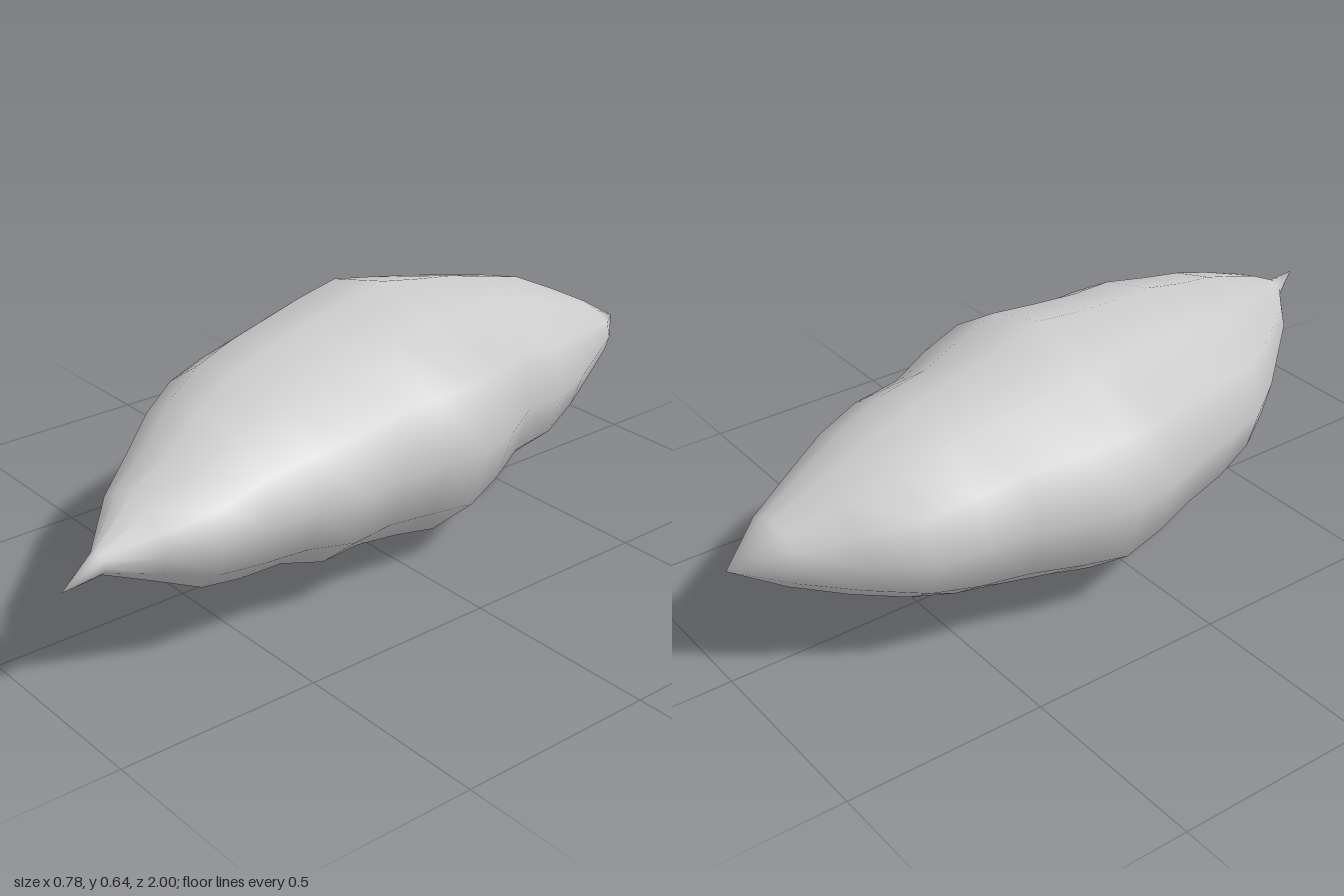
import * as THREE from 'three';

// Cross-sections from back to front: z, xMin, xMax, yMin, yMax
const SECTIONS = [
  [-0.875, -0.13, 0.07, 0.24, 0.40],
  [-0.75, -0.22, 0.14, 0.185, 0.465],
  [-0.625, -0.30, 0.21, 0.14, 0.525],
  [-0.5, -0.32, 0.26, 0.09, 0.56],
  [-0.375, -0.335, 0.27, 0.065, 0.59],
  [-0.25, -0.375, 0.34, 0.04, 0.615],
  [-0.125, -0.39, 0.385, 0.0, 0.643],
  [0, -0.365, 0.38, 0.03, 0.625],
  [0.125, -0.32, 0.37, 0.05, 0.61],
  [0.25, -0.285, 0.39, 0.06, 0.595],
  [0.375, -0.24, 0.375, 0.105, 0.565],
  [0.5, -0.15, 0.365, 0.12, 0.53],
  [0.625, -0.04, 0.365, 0.16, 0.475],
  [0.75, 0.07, 0.325, 0.23, 0.425],
  [0.875, 0.22, 0.28, 0.30, 0.355],
];
const AXIS_Y = 0.325;
const BACK_TIP = [-0.04, AXIS_Y, -1];
const FRONT_TIP = [0.31, AXIS_Y, 1];

// Lumpiness of the outline, one factor per side of the ring
const BULGE = [1, 1.04, 0.96, 1, 0.98, 1.02, 1, 1.01, 0.99, 1, 1.01, 0.99];
const SIDES = BULGE.length;

function bodyGeometry() {
  const points = [];
  const faces = [];

  // Rings of elliptical points, with separate radii above and below the axis
  for (const [z, x0, x1, y0, y1] of SECTIONS) {
    BULGE.forEach((bulge, j) => {
      const a = (j / SIDES) * Math.PI * 2;
      const s = Math.sin(a);
      const ry = s > 0 ? y1 - AXIS_Y : AXIS_Y - y0;
      points.push(
        (x0 + x1) / 2 + ((x1 - x0) / 2) * Math.cos(a) * bulge,
        AXIS_Y + ry * s * bulge,
        z,
      );
    });
  }
  const back = points.length / 3;
  const front = back + 1;
  points.push(...BACK_TIP, ...FRONT_TIP);

  // Skin between rings, closed by a fan at each tip
  const last = (SECTIONS.length - 1) * SIDES;
  for (let j = 0; j < SIDES; j++) {
    const k = (j + 1) % SIDES;
    faces.push(back, k, j, front, last + j, last + k);
    for (let r = 0; r < last; r += SIDES) {
      const n = r + SIDES;
      faces.push(r + j, r + k, n + k, r + j, n + k, n + j);
    }
  }

  const geometry = new THREE.BufferGeometry();
  geometry.setAttribute('position', new THREE.Float32BufferAttribute(points, 3));
  geometry.setIndex(faces);
  geometry.computeVertexNormals();
  return geometry;
}

export function createModel() {
  const group = new THREE.Group();
  group.name = 'asteroid';
  const body = new THREE.Mesh(
    bodyGeometry(),
    new THREE.MeshStandardMaterial({ color: 0xcccccc }),
  );
  body.name = 'rockBody';
  group.add(body);
  return group;
}
